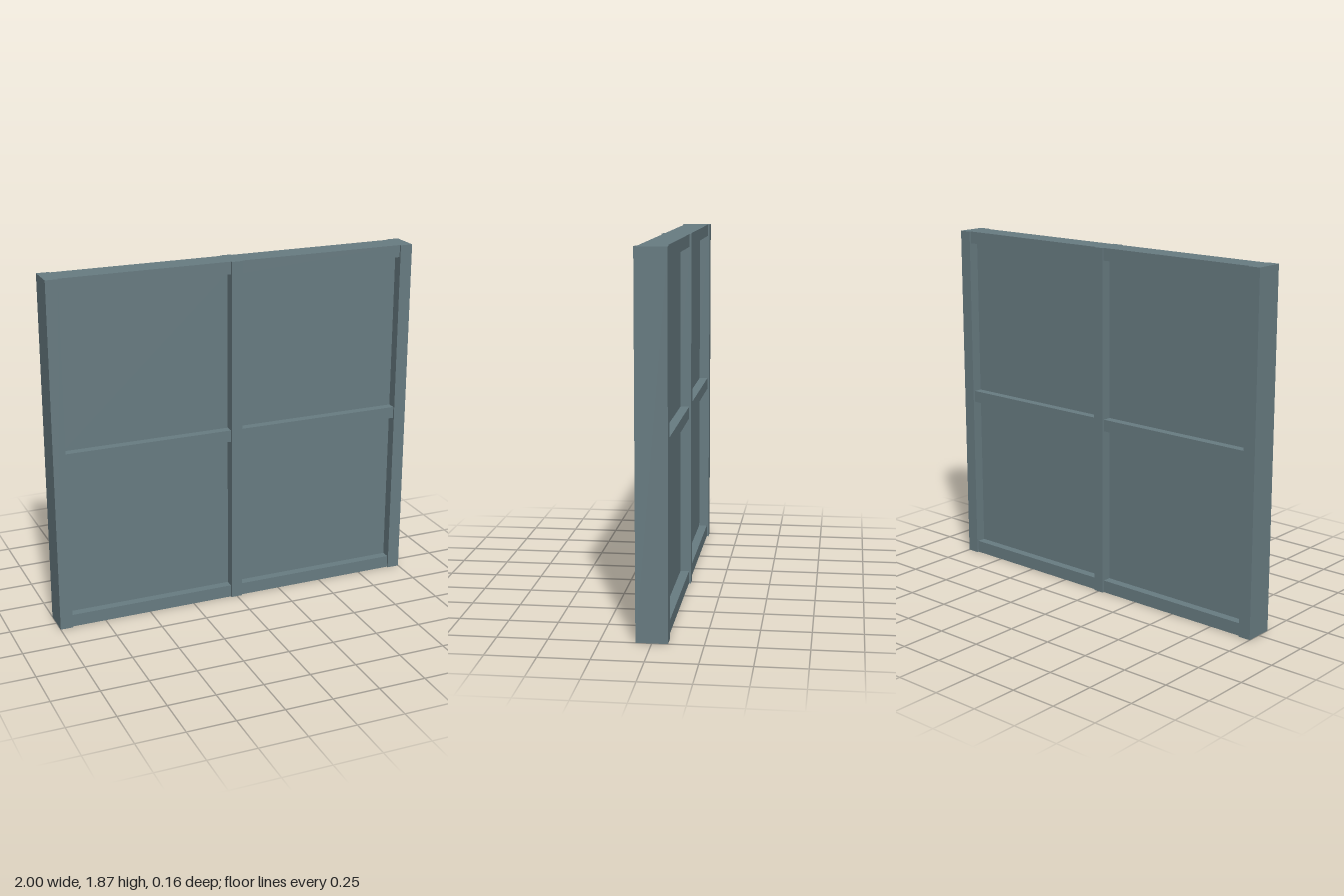
import * as THREE from 'three';

export function createModel() {
  const group = new THREE.Group();
  const paint = new THREE.MeshStandardMaterial({ color: 0x687c82 });
  paint.name = 'slate grey paint';

  // Box given by its extents in x and y, and its depth centred on z = 0
  function bar(name, x0, x1, y0, y1, depth) {
    const mesh = new THREE.Mesh(new THREE.BoxGeometry(x1 - x0, y1 - y0, depth), paint);
    mesh.position.set((x0 + x1) / 2, (y0 + y1) / 2, 0);
    mesh.name = name;
    group.add(mesh);
  }

  const height = 1.87;
  const posts = [['rightPost', -1, -0.933], ['centrePost', -0.032, 0.028], ['leftPost', 0.933, 1]];
  const rails = [['bottomRail', 0, 0.067], ['middleRail', 0.904, 0.967], ['topRail', 1.805, height]];

  // Upright posts, slightly proud of the rails
  for (const [name, x0, x1] of posts) bar(name, x0, x1, 0, height, 0.156);

  // Rails and recessed panels in each bay between posts
  for (let i = 0; i < 2; i++) {
    const side = i === 0 ? 'Right' : 'Left';
    const x0 = posts[i][2], x1 = posts[i + 1][1];
    for (const [name, y0, y1] of rails) bar(name + side, x0, x1, y0, y1, 0.136);
    bar('lowerPanel' + side, x0, x1, rails[0][2], rails[1][1], 0.044);
    bar('upperPanel' + side, x0, x1, rails[1][2], rails[2][1], 0.044);
  }
  return group;
}
